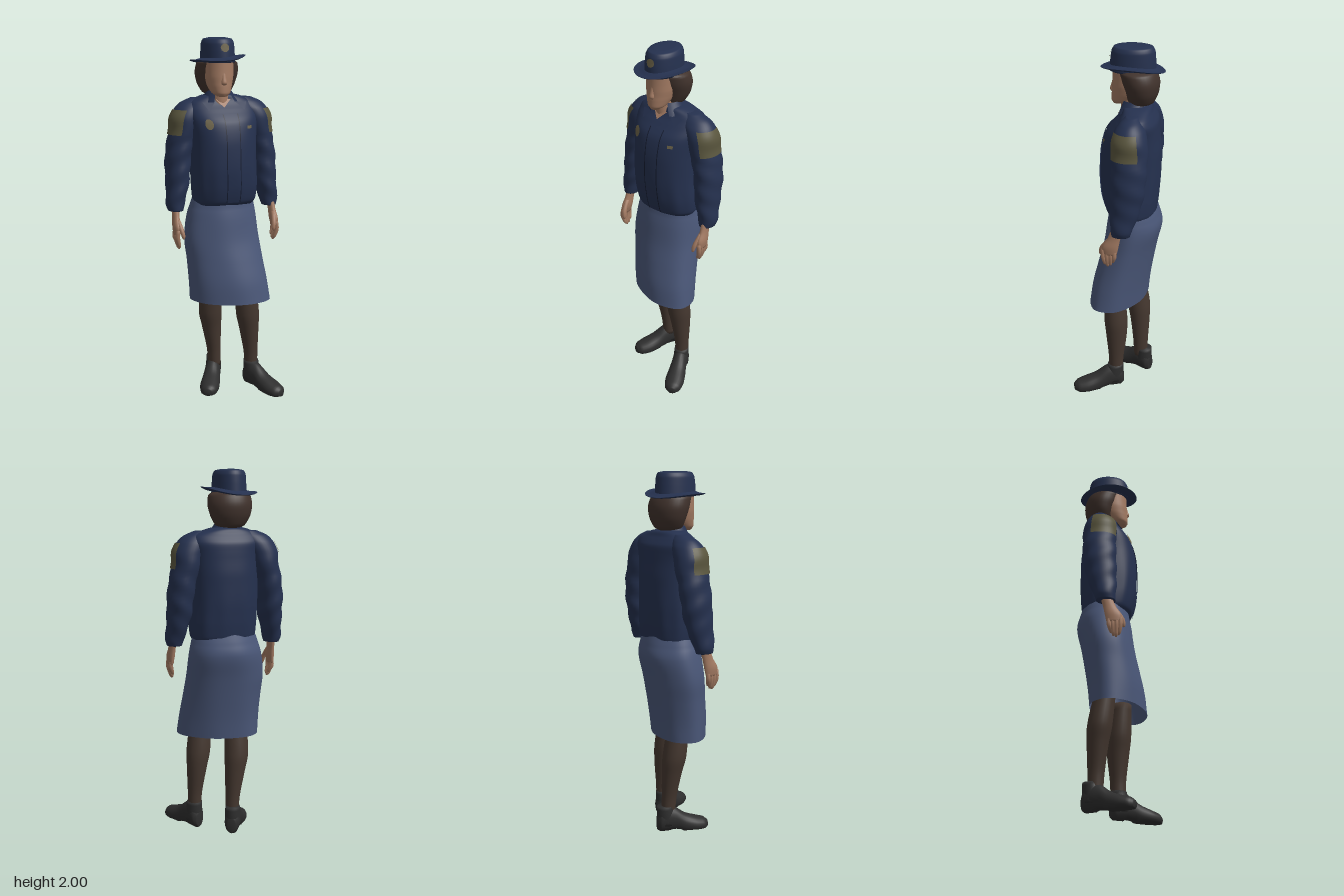
import * as THREE from 'three';

const mat = (name, color, side = THREE.FrontSide) => {
  const m = new THREE.MeshStandardMaterial({ color, side });
  m.name = name;
  return m;
};

// Smooth surface through elliptical rings [y, cx, cz, rx, rz, turn], listed bottom to top.
// at(angle, v, offset): angle 0 faces +z and grows toward +x; power below 1 makes rings boxier.
function surface(rings, bump, power = 1) {
  const centre = new THREE.CatmullRomCurve3(rings.map(r => new THREE.Vector3(r[1], r[0], r[2])));
  const radius = new THREE.CatmullRomCurve3(rings.map(r => new THREE.Vector3(r[3], r[5] || 0, r[4])));
  const soft = t => Math.sign(t) * Math.abs(t) ** power;
  const at = (a, v, off = 0) => {
    const c = centre.getPoint(v), r = radius.getPoint(v);
    const k = bump ? bump(a, c.y) : 1;
    const x = (r.x * k + off) * soft(Math.sin(a)), z = (r.z * k + off) * soft(Math.cos(a));
    const cs = Math.cos(r.y), sn = Math.sin(r.y);
    return new THREE.Vector3(c.x + x * cs - z * sn, c.y, c.z + x * sn + z * cs);
  };
  const vAt = y => {
    let lo = 0, hi = 1;
    for (let i = 0; i < 24; i++) {
      const m = (lo + hi) / 2;
      if (centre.getPoint(m).y < y) lo = m; else hi = m;
    }
    return lo;
  };
  return { at, vAt, centre };
}

// Closed tube over a surface, with optional end caps
function loft(surf, cols = 28, rows = 24, capped = true) {
  const pos = [], idx = [];
  for (let i = 0; i <= rows; i++)
    for (let j = 0; j < cols; j++) pos.push(...surf.at(j / cols * Math.PI * 2, i / rows).toArray());
  for (let i = 0; i < rows; i++)
    for (let j = 0; j < cols; j++) {
      const a = i * cols + j, b = i * cols + (j + 1) % cols;
      idx.push(a, b, b + cols, a, b + cols, a + cols);
    }
  if (capped) for (const end of [0, 1]) {
    const c = pos.length / 3, base = end * rows * cols;
    pos.push(...surf.centre.getPoint(end).toArray());
    for (let j = 0; j < cols; j++) {
      const a = base + j, b = base + (j + 1) % cols;
      idx.push(...(end ? [c, a, b] : [c, b, a]));
    }
  }
  const g = new THREE.BufferGeometry();
  g.setAttribute('position', new THREE.Float32BufferAttribute(pos, 3));
  g.setIndex(idx);
  g.computeVertexNormals();
  return g;
}

// Wraps a flat geometry (spanning -1..1) onto a surface as a thin plate
function decal(flat, surf, deg, y, dDeg, dy, off = 0.004) {
  const p = flat.attributes.position, rad = Math.PI / 180;
  for (let i = 0; i < p.count; i++) {
    const q = surf.at((deg + p.getX(i) * dDeg) * rad, surf.vAt(y + p.getY(i) * dy), off);
    p.setXYZ(i, q.x, q.y, q.z);
  }
  flat.computeVertexNormals();
  return flat;
}
const plane = (n = 10, m = 10) => new THREE.PlaneGeometry(2, 2, n, m);
const triangle = () => new THREE.CircleGeometry(1, 3, -Math.PI / 2);

export function createModel() {
  const model = new THREE.Group();
  model.name = 'uniformedWoman';
  const navy = mat('navy', 0x25314f, THREE.DoubleSide), seam = mat('darkSeam', 0x151c30);
  const blue = mat('skirtBlue', 0x4a5778, THREE.DoubleSide), skin = mat('skin', 0xa27a62);
  const hairMat = mat('hairBrown', 0x40322c), stocking = mat('stocking', 0x44372f);
  const black = mat('shoeBlack', 0x2e2e2e), olive = mat('olive', 0x5a563e), gold = mat('badge', 0x6b6248);
  const add = (name, geo, m, parent = model) => {
    const mesh = new THREE.Mesh(geo, m);
    mesh.name = name;
    parent.add(mesh);
    return mesh;
  };

  // Jacket body
  const torso = surface([
    [1.09, .007, -.072, .165, .115], [1.12, .007, -.066, .178, .138], [1.2, .005, -.06, .184, .153],
    [1.32, 0, -.058, .183, .161], [1.45, 0, -.06, .183, .158], [1.56, 0, -.068, .192, .14],
    [1.62, 0, -.088, .2, .112], [1.658, 0, -.092, .185, .085], [1.69, -.01, -.088, .11, .07],
    [1.7, -.015, -.08, .065, .055]
  ], (a, y) => 1 + .012 * Math.sin(a * 11) * Math.max(0, 1 - Math.abs(y - 1.22) / .2), .86);
  add('jacket', loft(torso, 64, 48), navy);
  add('placket', decal(plane(6, 24), torso, 1, 1.36, 9, .24, .005), navy);
  for (const d of [-8, 10]) add('placketSeam', decal(plane(1, 24), torso, d, 1.36, .7, .24, .0065), seam);
  add('chestBadge', decal(new THREE.CircleGeometry(1, 10), torso, -34, 1.55, 8, .028, .006), gold);
  add('nameTag', decal(plane(4, 1), torso, 29, 1.53, 5, .008, .006), gold);

  // Collar, open at the front over the throat, with two points
  const collar = surface([[1.655, -.012, -.068, .11, .088], [1.69, -.016, -.072, .085, .077], [1.725, -.02, -.075, .066, .064]]);
  add('collar', decal(plane(32, 6), collar, 180, 1.69, 146, .03, 0), navy);
  add('throat', decal(triangle(), torso, -4, 1.66, 14, .028, .007), skin);
  for (const s of [-1, 1]) add('collarPoint', decal(triangle(), torso, s * 26 - 2, 1.645, 13, .028, .009), navy);

  // Sleeves, shoulder patches and hands
  for (const s of [1, -1]) {
    const arm = new THREE.Group();
    arm.name = s > 0 ? 'leftArm' : 'rightArm';
    arm.position.z = s > 0 ? 0 : -.03;
    model.add(arm);
    const sleeve = surface([
      [1.07, .273, -.045, .042, .05], [1.1, .273, -.05, .05, .058], [1.17, .262, -.06, .058, .072],
      [1.24, .252, -.07, .066, .083], [1.32, .248, -.078, .07, .089], [1.42, .234, -.082, .073, .092],
      [1.51, .21, -.082, .078, .094], [1.57, .198, -.078, .087, .092], [1.62, .175, -.078, .088, .078],
      [1.655, .15, -.08, .078, .055], [1.68, .125, -.082, .045, .03]
    ].map(r => [r[0], s * r[1], ...r.slice(2)]),
    (a, y) => 1 + (y < 1.47 ? .035 : .01) * Math.sin(y * 55 + s * a * 2) * Math.min(1, (1.69 - y) * 8));
    add('sleeve', loft(sleeve, 36, 48), navy, arm);
    add('shoulderPatch', decal(plane(12, 8), sleeve, s * 72, 1.553, 48, .067, .006), olive, arm);

    const hand = new THREE.Group();
    hand.name = 'hand';
    hand.position.set(s * .278, s > 0 ? 0 : -.015, s > 0 ? .006 : -.008);
    arm.add(hand);
    add('palm', loft(surface([[.955, s * .006, .005, .013, .038], [1, s * .003, .002, .021, .044],
      [1.05, 0, -.018, .019, .034], [1.12, -s * .005, -.04, .023, .031]]), 16, 12), skin, hand);
    for (let i = 0; i < 4; i++) {
      const z = -.024 + i * .02, low = [.9, .883, .877, .887][i];
      add('finger', loft(surface([[low, -s * .006, z * .7 + .006, .005, .005], [low + .012, -s * .002, z * .75 + .006, .011, .01],
        [.94, s * .008, z + .004, .013, .012], [.985, s * .004, z + .004, .012, .012]]), 8, 8), skin, hand);
    }
    add('thumb', loft(surface([[.94, -s * .02, .058, .005, .006], [.955, -s * .019, .056, .011, .012],
      [.99, -s * .013, .045, .013, .015], [1.04, -s * .004, .008, .011, .016]]), 8, 8), skin, hand);
  }

  // Skirt, turned toward the forward left leg at the hem
  add('skirt', loft(surface([
    [.55, .02, 0, .228, .142, .38], [.66, .013, -.012, .222, .146, .32], [.78, .003, -.035, .216, .146, .23],
    [.9, -.007, -.06, .213, .146, .12], [1.02, -.003, -.08, .2, .151, .04], [1.08, 0, -.08, .186, .14],
    [1.14, .003, -.075, .17, .128]
  ], (a, y) => 1 + .008 * Math.sin(a * 7 + y * 9)), 56, 36, false), blue);

  // Legs
  const legs = {
    leftLeg: [[.1, .152, .002, .036, .04], [.2, .15, 0, .04, .043], [.35, .138, 0, .056, .06],
      [.45, .127, .005, .067, .066], [.62, .11, .018, .06, .055]],
    rightLeg: [[.1, -.033, -.12, .036, .04], [.2, -.037, -.117, .04, .044], [.35, -.053, -.11, .056, .057],
      [.45, -.064, -.1, .067, .066], [.62, -.066, -.075, .062, .058]]
  };
  for (const name in legs) add(name, loft(surface(legs[name]), 24, 20), stocking);

  // Shoes, lofted from heel to toe and flattened underneath, with an ankle opening
  for (const [name, x, z, turn] of [['leftShoe', .134, -.04, .39], ['rightShoe', -.008, -.183, -.48]]) {
    const g = loft(surface([
      [0, 0, -.05, .022, .04], [.02, 0, -.062, .041, .065], [.065, 0, -.072, .045, .074], [.105, 0, -.064, .045, .07],
      [.16, 0, -.038, .052, .057], [.22, 0, -.026, .056, .046], [.272, 0, -.02, .045, .036], [.295, 0, -.018, .02, .02]
    ]), 24, 28);
    g.rotateX(Math.PI / 2);
    const p = g.attributes.position;
    for (let i = 0; i < p.count; i++) {
      const arch = p.getZ(i) > .08 && p.getZ(i) < .14 ? .01 : 0;
      p.setY(i, Math.max(arch, p.getY(i)));
    }
    g.computeVertexNormals();
    const shoe = new THREE.Group();
    shoe.name = name;
    add('upper', g, black, shoe);
    add('ankleOpening', loft(surface([[.04, 0, .058, .044, .056], [.1, 0, .052, .044, .052], [.15, 0, .046, .041, .045]]), 24, 6), black, shoe);
    shoe.position.set(x, 0, z);
    shoe.rotation.y = turn;
    model.add(shoe);
  }

  // Neck, face and nose
  add('neck', loft(surface([[1.62, -.018, -.06, .06, .062], [1.68, -.022, -.055, .05, .056], [1.78, -.027, -.06, .05, .055]]), 24, 8), skin);
  add('face', loft(surface([
    [1.692, -.031, .012, .024, .03], [1.71, -.031, -.004, .049, .056], [1.75, -.031, -.03, .067, .081],
    [1.8, -.031, -.04, .078, .088], [1.89, -.031, -.045, .08, .09]
  ]), 32, 20), skin);
  add('nose', loft(surface([[1.75, -.031, .04, .012, .008], [1.765, -.031, .042, .017, .019],
    [1.79, -.031, .038, .014, .016], [1.83, -.031, .034, .012, .009]]), 16, 12), skin);

  // Hair
  add('hair', loft(surface([
    [1.69, -.022, -.105, .035, .03], [1.708, -.022, -.104, .078, .068], [1.76, -.022, -.108, .108, .087],
    [1.82, -.022, -.1, .12, .1], [1.865, -.024, -.085, .113, .1], [1.882, -.028, -.07, .085, .09]
  ]), 36, 20), hairMat);

  // Hat with a softly curled brim
  const crown = surface([
    [1.87, -.03, -.06, .091, .121], [1.93, -.03, -.06, .088, .117], [1.97, -.03, -.061, .085, .112],
    [1.992, -.03, -.062, .074, .1], [1.999, -.03, -.062, .045, .065]
  ]);
  add('hatCrown', loft(crown, 40, 24), navy);
  const brim = loft(surface([
    [1.871, -.03, -.06, .08, .11], [1.87, -.03, -.06, .12, .143], [1.876, -.03, -.06, .149, .167],
    [1.882, -.03, -.06, .12, .143], [1.896, -.03, -.06, .08, .11]
  ]), 48, 32);
  const b = brim.attributes.position;
  for (let i = 0; i < b.count; i++) {
    const dx = b.getX(i) + .03, dz = b.getZ(i) + .06;
    b.setY(i, b.getY(i) + .9 * dx * dx + .08 * dx + .05 * dz);
  }
  brim.computeVertexNormals();
  add('hatBrim', brim, navy);
  add('hatBadge', decal(new THREE.CircleGeometry(1, 10), crown, 0, 1.948, 15, .022, .005), gold);

  return model;
}
